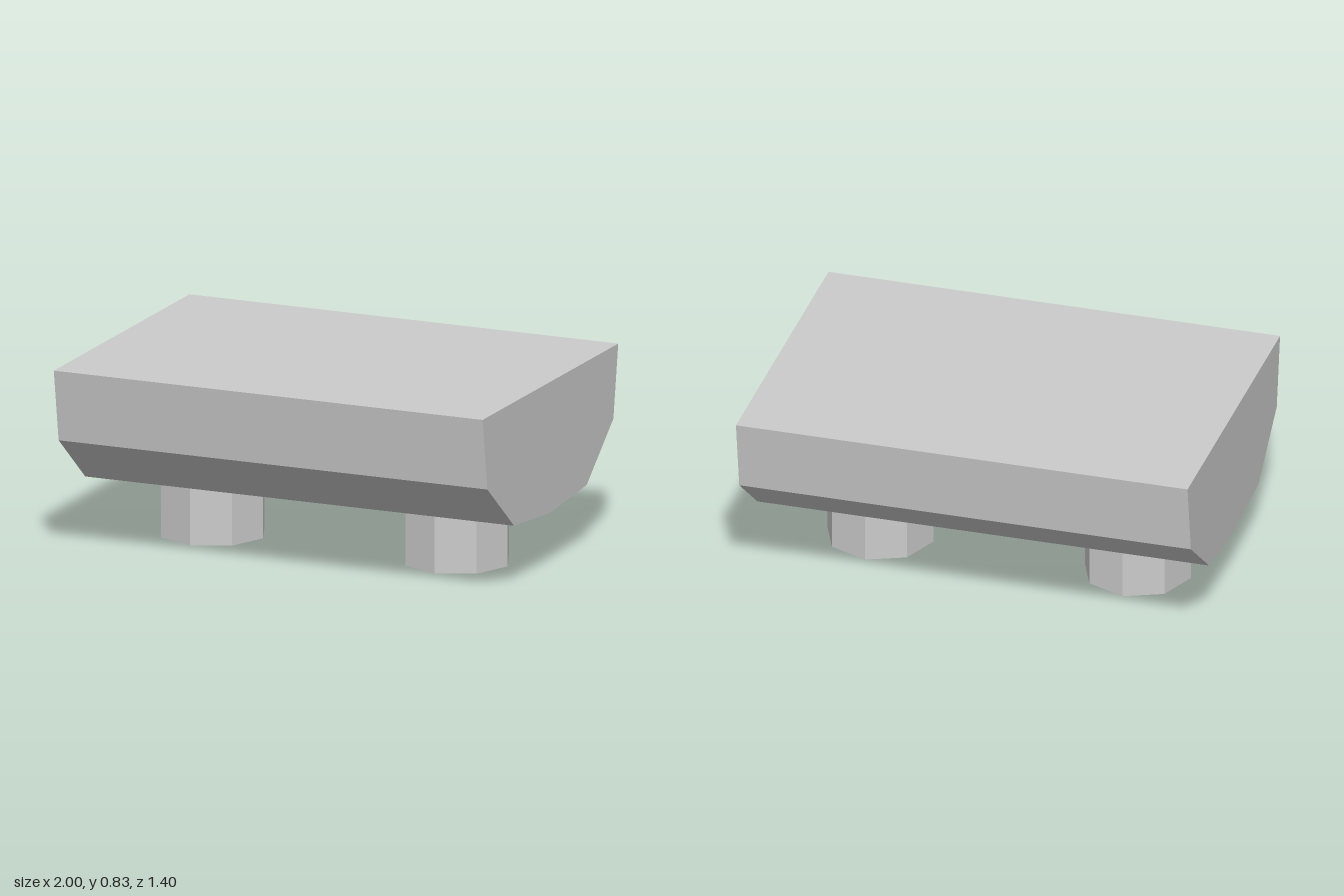
import * as THREE from 'three';

export function createModel() {
  const model = new THREE.Group();
  const material = new THREE.MeshStandardMaterial({
    color: 0xcccccc, flatShading: true, side: THREE.DoubleSide,
  });

  // Body: faceted hull section, mirrored front to back and extruded along x
  const half = [[0.375, 0.29], [0.65, 0.515], [0.7, 0.833]];
  const section = [
    [0, 0.257],
    ...half,
    ...half.map(([z, y]) => [-z, y]).reverse(),
  ].map(([z, y]) => new THREE.Vector2(z, y));
  const bodyGeometry = new THREE.ExtrudeGeometry(new THREE.Shape(section), {
    depth: 2, bevelEnabled: false,
  });
  bodyGeometry.translate(0, 0, -1).rotateY(Math.PI / 2);
  const body = new THREE.Mesh(bodyGeometry, material);
  body.name = 'body';
  model.add(body);

  // Legs: open eight-sided tubes reaching up into the hull
  const legHeight = 0.32;
  const legGeometry = new THREE.CylinderGeometry(0.235, 0.235, legHeight, 8, 1, true);
  for (const [name, x] of [['rightLeg', -0.575], ['leftLeg', 0.565]]) {
    const leg = new THREE.Mesh(legGeometry, material);
    leg.name = name;
    leg.position.set(x, legHeight / 2, 0);
    model.add(leg);
  }

  return model;
}
